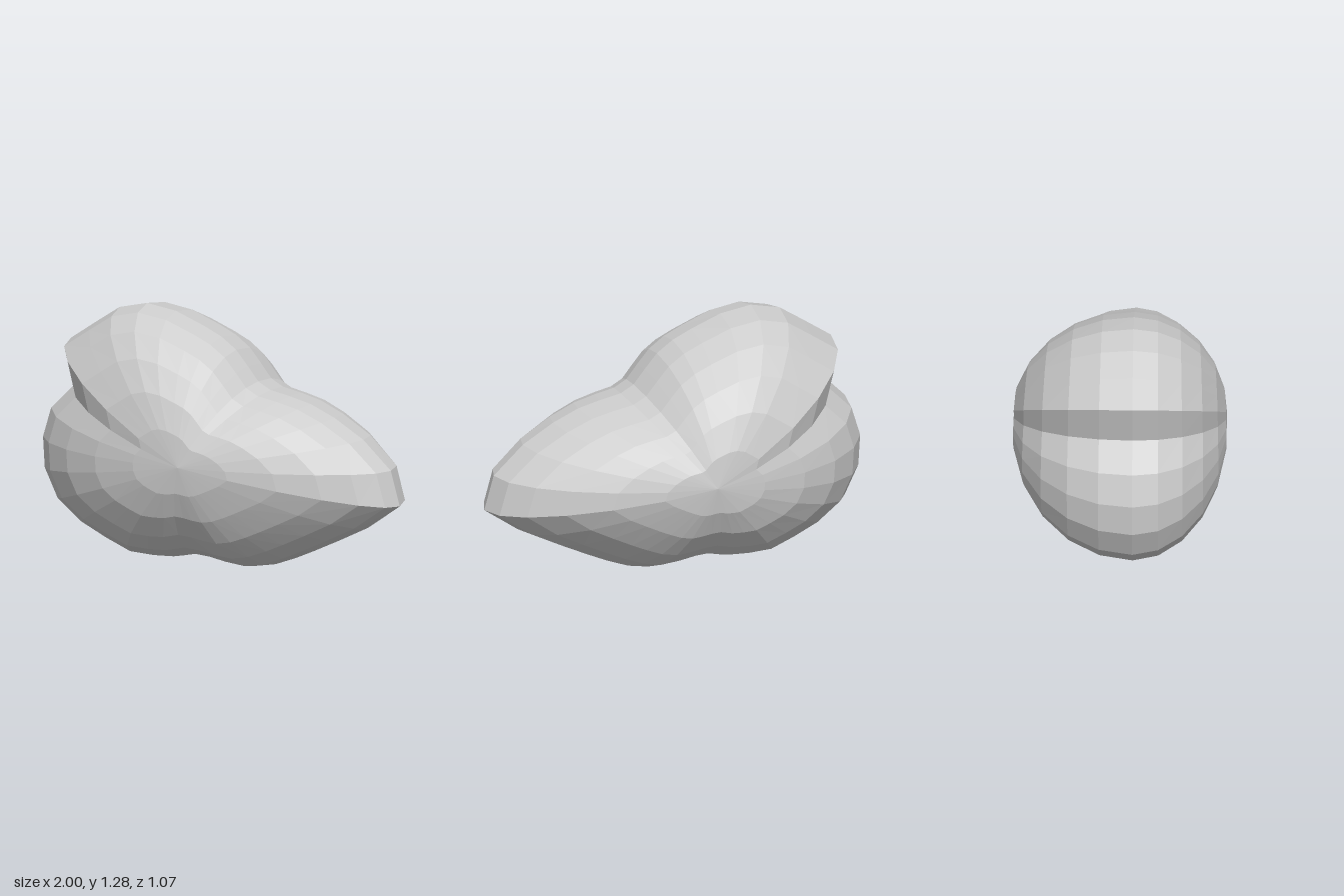
import * as THREE from 'three';

export function createModel() {
  const group = new THREE.Group();
  const stone = new THREE.MeshStandardMaterial({ color: 0xcccccc, flatShading: true });
  stone.name = 'pale grey';

  // Outline at the widest ring: one [x, y] point every 10 degrees around the z axis
  const cx = -0.02, cy = 0.57;
  const outline = [
    [0.947, 0.567], [0.79, 0.71], [0.626, 0.805], [0.49, 0.862], [0.37, 0.89], [0.26, 0.91],
    [0.19, 0.947], [0.13, 1.02], [0.064, 1.096], [-0.02, 1.155], [-0.12, 1.2], [-0.28, 1.26],
    [-0.444, 1.283], [-0.6, 1.246], [-0.73, 1.16], [-0.877, 1.06], [-0.824, 0.856], [-0.952, 0.727],
    [-1, 0.57], [-0.99, 0.406], [-0.914, 0.25], [-0.775, 0.14], [-0.63, 0.07], [-0.49, 0.012],
    [-0.353, 0.005], [-0.235, 0.01], [-0.118, 0.037], [-0.025, 0.03], [0.07, 0.012], [0.18, 0],
    [0.29, 0.02], [0.406, 0.064], [0.515, 0.113], [0.655, 0.18], [0.818, 0.262], [0.998, 0.39],
  ];

  // Sphere with its poles on z, each ring reshaped to the outline
  const geometry = new THREE.SphereGeometry(1, 36, 12);
  const pos = geometry.attributes.position, uv = geometry.attributes.uv;
  for (let i = 0; i < pos.count; i++) {
    const phi = Math.PI * (1 - uv.getY(i));
    const [ox, oy] = outline[(Math.round(uv.getX(i) * 36) + 18) % 36];
    const s = Math.sin(phi), c = Math.cos(phi);
    const x = (ox - cx) * s, y = (oy - cy) * s;
    // The body is deeper at the back and thins towards the pointed end
    const taper = 1 - 0.17 * x - 0.08 * x * x - 0.08 * y * y;
    const depth = c > 0 ? 0.462 : 0.605;
    pos.setXYZ(i, cx + x, cy + y, 0.07 + c * depth * taper);
  }
  geometry.computeVertexNormals();

  const body = new THREE.Mesh(geometry, stone);
  body.name = 'lobedBody';
  group.add(body);
  return group;
}
